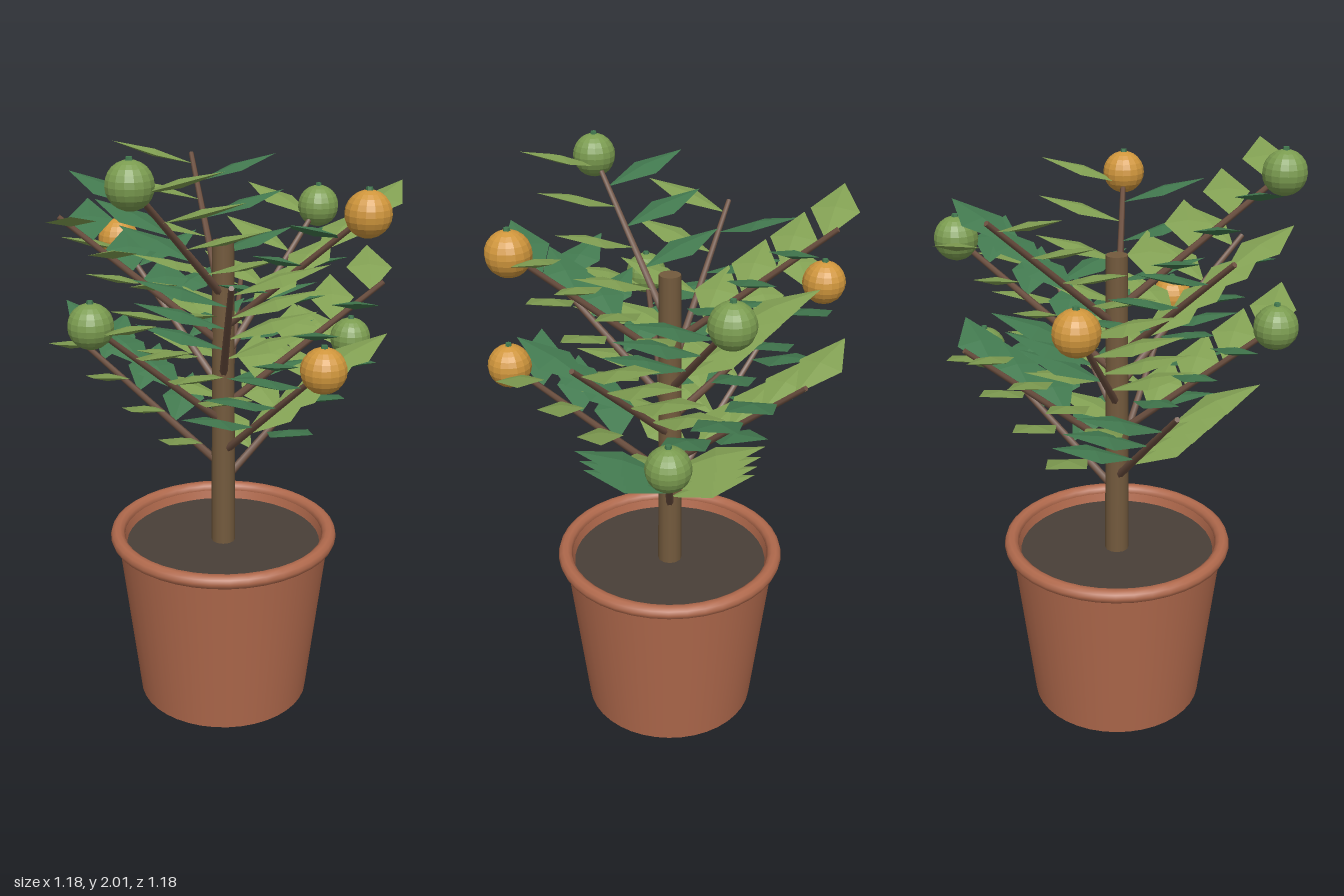
import * as THREE from 'three';

const material = (name, color, flatShading = false) => {
  const m = new THREE.MeshStandardMaterial({ color, flatShading });
  m.name = name;
  return m;
};

export function createModel() {
  const mats = {
    terracotta: material('terracotta', 0xb0694c),
    soil: material('soil', 0x493f38),
    bark: material('bark', 0x735a3d),
    twig: material('twig', 0x6d5040),
    lightLeaf: material('light leaf', 0x82a053, true),
    darkLeaf: material('dark leaf', 0x42794f, true),
    ripeFruit: material('ripe fruit', 0xd0963c, true),
    greenFruit: material('green fruit', 0x7b9c50, true),
  };
  const tree = new THREE.Group();
  tree.name = 'pottedFruitTree';
  const add = (parent, name, geometry, mat) => {
    const mesh = new THREE.Mesh(geometry, mat);
    mesh.name = name;
    parent.add(mesh);
    return mesh;
  };

  // Pot: tapered wall with a closed base, rolled rim and soil
  add(tree, 'potWall', new THREE.CylinderGeometry(0.375, 0.305, 0.62, 40, 1, true).translate(0, 0.31, 0), mats.terracotta);
  add(tree, 'potBase', new THREE.CircleGeometry(0.305, 40).rotateX(Math.PI / 2), mats.terracotta);
  const inner = [[0.335, 0.56], [0.352, 0.625]].map(([r, y]) => new THREE.Vector2(r, y));
  add(tree, 'potInnerWall', new THREE.LatheGeometry(inner.reverse(), 40), mats.terracotta);
  add(tree, 'potRim', new THREE.TorusGeometry(0.375, 0.025, 10, 40).rotateX(Math.PI / 2).translate(0, 0.622, 0), mats.terracotta);
  add(tree, 'soil', new THREE.CircleGeometry(0.345, 40).rotateX(-Math.PI / 2).translate(0, 0.59, 0), mats.soil);

  // Trunk
  add(tree, 'trunk', new THREE.CylinderGeometry(0.036, 0.042, 1.09, 12).translate(0, 1.125, 0), mats.bark);

  // Shared shapes, with each leaf starting at its stalk and pointing along +x
  const reach = 0.525, rise = 0.445, leafCount = 7;
  const branchLength = Math.hypot(reach, rise);
  const branchShape = new THREE.CylinderGeometry(0.009, 0.014, branchLength, 6)
    .translate(0, branchLength / 2, 0).rotateZ(-Math.atan2(reach, rise));
  const leafShape = new THREE.OctahedronGeometry(1).scale(0.15, 0.013, 0.077)
    .translate(0.15, 0, 0).rotateZ(0.3);
  const fruitShape = new THREE.SphereGeometry(0.072, 16, 12);
  const nubShape = new THREE.CylinderGeometry(0.01, 0.012, 0.014, 6).translate(0, 0.073, 0);

  // Branches spiral up the trunk by the golden angle
  for (let i = 0; i < 13; i++) {
    const branch = new THREE.Group();
    branch.name = `branch${i + 1}`;
    branch.position.y = 0.815 + 0.0557 * i;
    branch.rotation.y = THREE.MathUtils.degToRad(137.5 * i);
    tree.add(branch);
    add(branch, 'branchStem', branchShape, mats.twig);

    // Leaves alternate sides: light on one, dark on the other
    for (let k = 0; k < leafCount; k++) {
      const t = 0.22 + 0.118 * k;
      const light = k % 2 === 0;
      const leaf = add(branch, light ? 'lightLeaf' : 'darkLeaf', leafShape, light ? mats.lightLeaf : mats.darkLeaf);
      leaf.position.set(reach * t, rise * t, 0);
      leaf.rotation.y = (light ? 1 : -1) * Math.PI / 2;
    }

    // Every second branch bears a fruit at its tip
    if (i % 2 === 0) {
      const fruit = new THREE.Group();
      fruit.name = 'fruit';
      fruit.position.set(reach, rise, 0);
      branch.add(fruit);
      add(fruit, 'fruitBody', fruitShape, i % 4 === 0 ? mats.greenFruit : mats.ripeFruit);
      add(fruit, 'fruitNub', nubShape, mats.darkLeaf);
    }
  }
  return tree;
}
